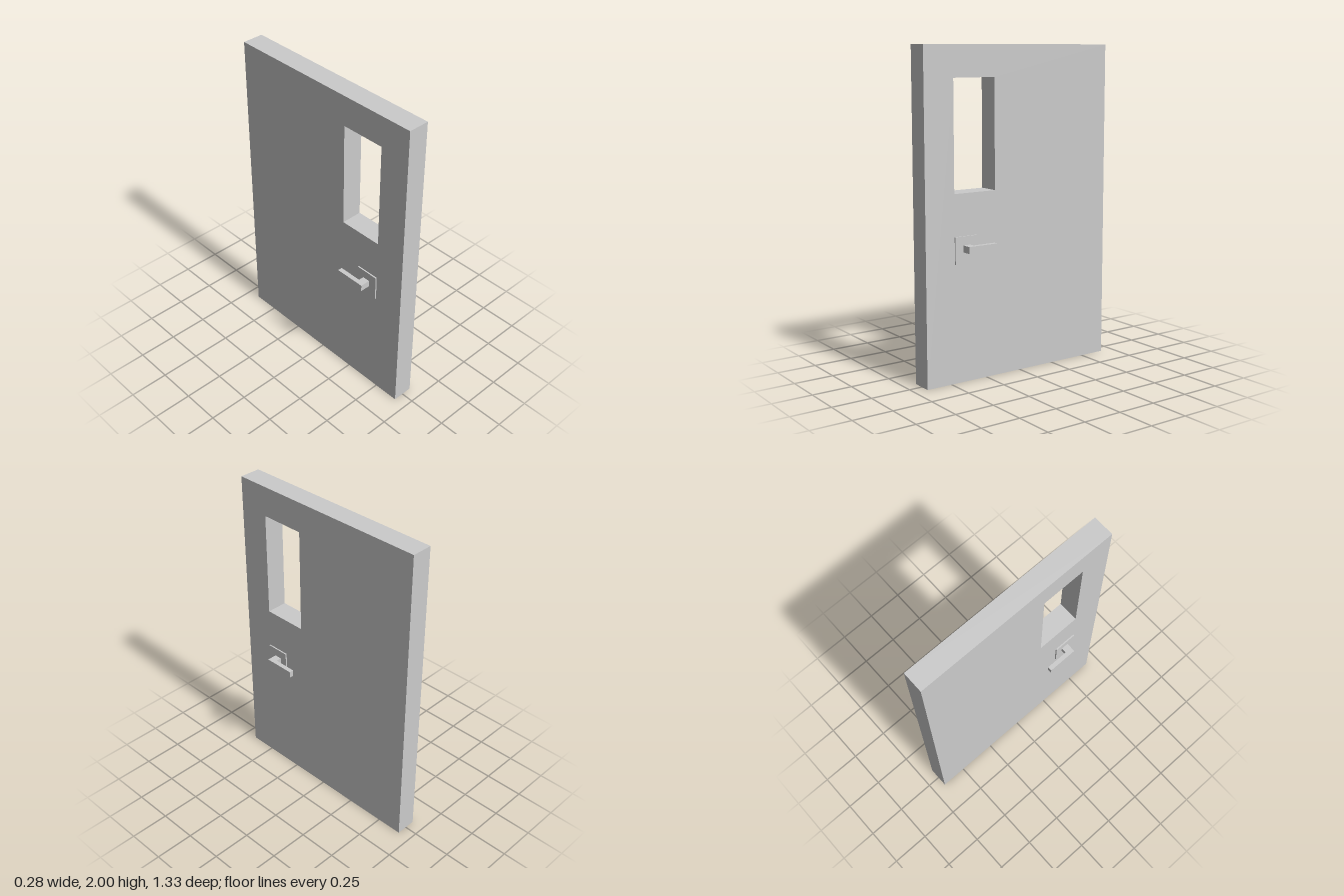
import * as THREE from 'three';

const material = new THREE.MeshStandardMaterial({ color: 0xcccccc });

// Closed polygon from [x, y] corners
const polygon = (points) => new THREE.Shape(points.map(([x, y]) => new THREE.Vector2(x, y)));

const rectangle = (x0, x1, y0, y1) => polygon([[x0, y0], [x1, y0], [x1, y1], [x0, y1]]);

// Extrusion centred on its own depth
function slab(shape, depth) {
  const geometry = new THREE.ExtrudeGeometry(shape, { depth, bevelEnabled: false });
  return geometry.translate(0, 0, -depth / 2);
}

function addPart(parent, name, geometry) {
  const mesh = new THREE.Mesh(geometry, material);
  mesh.name = name;
  parent.add(mesh);
  return mesh;
}

export function createModel() {
  const model = new THREE.Group();
  model.name = 'door';
  const halfThickness = 0.067;

  // Door leaf, drawn in the z-y plane with the window opening cut through
  const leaf = rectangle(-0.667, 0.667, 0, 2);
  leaf.holes.push(rectangle(0.184, 0.47, 1.142, 1.81));
  addPart(model, 'doorLeaf', slab(leaf, halfThickness * 2).rotateY(-Math.PI / 2));

  // Matching handle on each face
  for (const side of [1, -1]) {
    const handle = new THREE.Group();
    handle.name = side > 0 ? 'leftHandle' : 'rightHandle';
    model.add(handle);

    // Thin square backing plate
    const plate = addPart(handle, 'backPlate', new THREE.BoxGeometry(0.009, 0.164, 0.149));
    plate.position.set(side * (halfThickness + 0.0045), 0.806, 0.3955);

    // L-shaped lever, drawn in the x-z plane: stem out of the plate, then the grip
    const lever = polygon([
      [0.07, 0.368], [0.111, 0.368], [0.111, 0.218],
      [0.14, 0.218], [0.14, 0.416], [0.07, 0.416],
    ].map(([x, z]) => [side * x, z]));
    addPart(handle, 'lever', slab(lever, 0.042).rotateX(Math.PI / 2)).position.y = 0.814;
  }

  return model;
}
